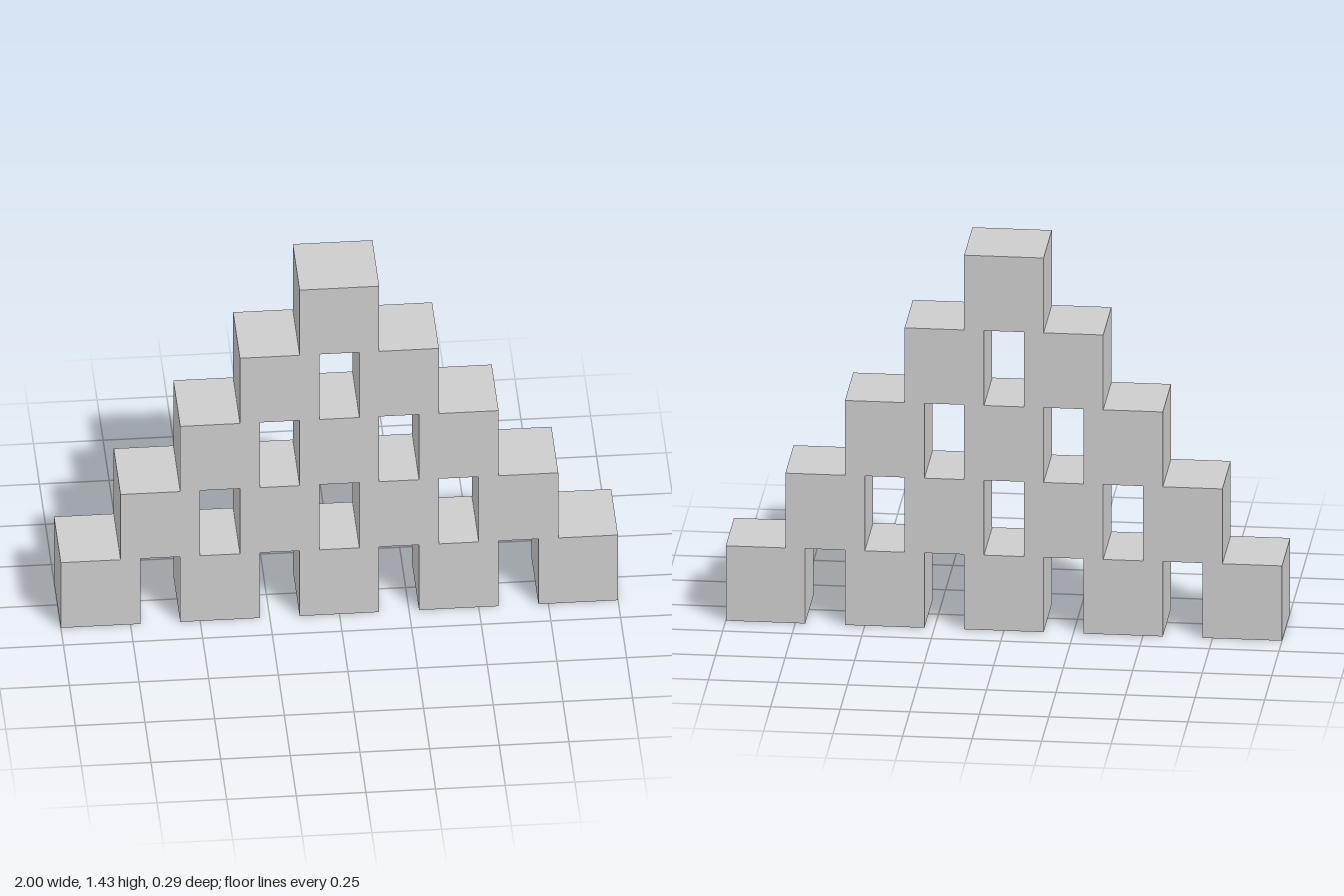
import * as THREE from 'three';

export function createModel() {
  const group = new THREE.Group();
  group.name = 'blockPyramid';

  const stone = new THREE.MeshStandardMaterial({ color: 0xcccccc });
  stone.name = 'light grey';

  const rows = 5;
  const size = 2 / 7;         // cube edge
  const spacing = size * 1.5; // half a cube of gap between neighbours
  const cube = new THREE.BoxGeometry(size, size, size);

  // Each row has one cube fewer and straddles the gaps of the row below
  for (let row = 0; row < rows; row++) {
    const count = rows - row;
    const course = new THREE.Group();
    course.name = `row${row + 1}`;
    course.position.y = size * (row + 0.5);
    for (let i = 0; i < count; i++) {
      const block = new THREE.Mesh(cube, stone);
      block.name = `block${i + 1}`;
      block.position.x = (i - (count - 1) / 2) * spacing;
      course.add(block);
    }
    group.add(course);
  }
  return group;
}
